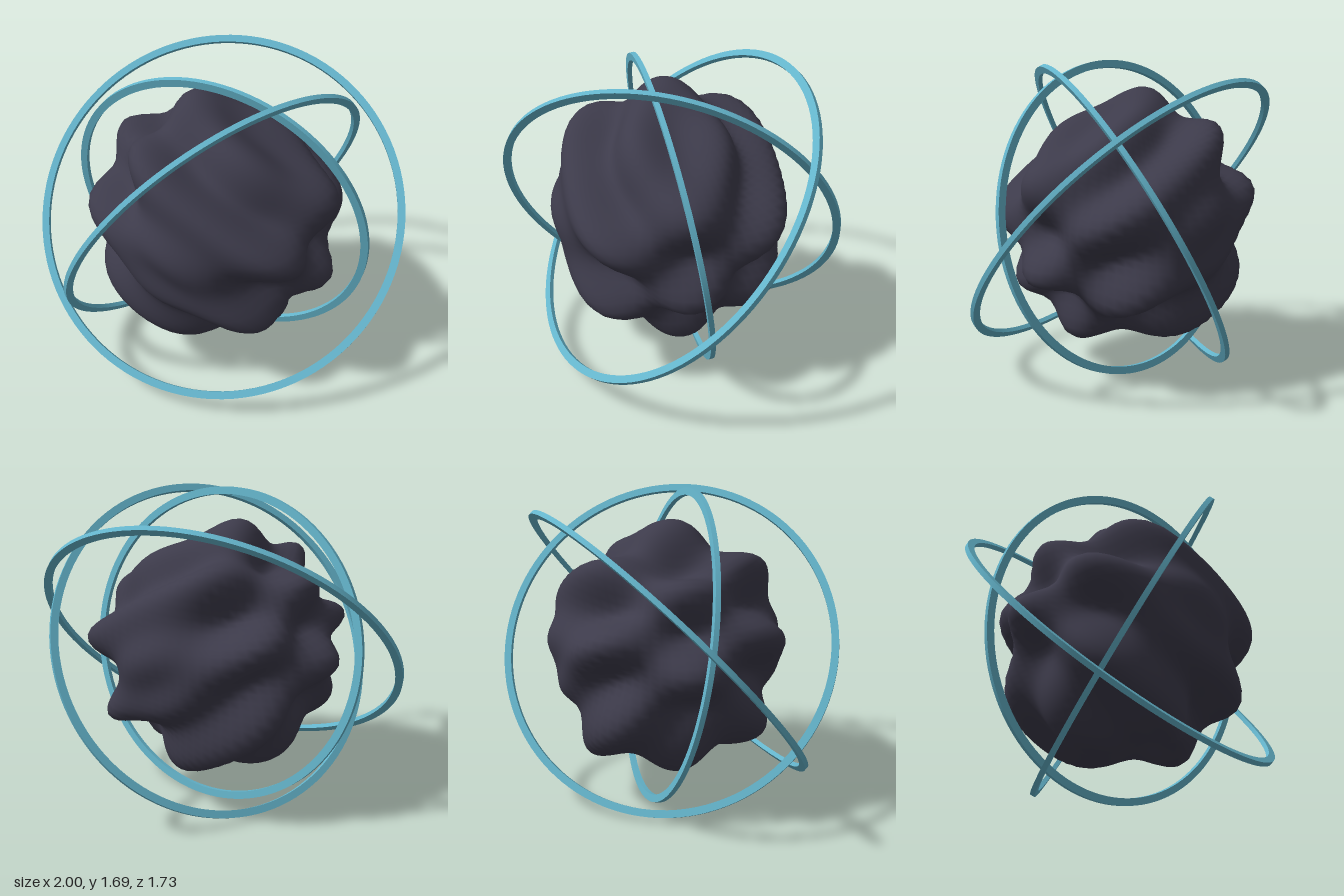
import * as THREE from 'three';
import { mergeVertices, toCreasedNormals } from 'three/addons/utils/BufferGeometryUtils.js';

const CENTER_Y = 0.85;

// Sphere pushed in and out by slanted ridges that alternate along z
function rippledSphere(radius, depth) {
  let geo = new THREE.SphereGeometry(radius, 72, 56);
  const pos = geo.attributes.position;
  const d = new THREE.Vector3();
  for (let i = 0; i < pos.count; i++) {
    d.fromBufferAttribute(pos, i).normalize();
    const wave = Math.sin(5 * d.x + 9 * d.y) * Math.cos(5 * d.z);
    d.multiplyScalar(radius + depth * wave);
    pos.setXYZ(i, d.x, d.y, d.z);
  }
  // weld the seam so the shading is smooth all round
  geo.deleteAttribute('uv');
  geo.deleteAttribute('normal');
  geo = mergeVertices(geo, 1e-4);
  geo.computeVertexNormals();
  return geo;
}

// Flat hoop with a rectangular section, turned around y
function hoop(outer, width, thickness) {
  const inner = outer - width;
  const h = thickness / 2;
  const section = [[outer, -h], [outer, h], [inner, h], [inner, -h], [outer, -h]]
    .map(([x, y]) => new THREE.Vector2(x, y));
  return toCreasedNormals(new THREE.LatheGeometry(section, 112), 0.6);
}

export function createModel() {
  const model = new THREE.Group();
  model.name = 'ringedCore';

  const coreDark = new THREE.MeshStandardMaterial({ color: 0x3d3b4b });
  coreDark.name = 'dark slate';
  const ringBlue = new THREE.MeshStandardMaterial({ color: 0x64b4cb });
  ringBlue.name = 'sky blue';

  // Rippled core
  const core = new THREE.Mesh(rippledSphere(0.622, 0.094), coreDark);
  core.name = 'core';
  core.position.y = CENTER_Y;
  model.add(core);

  // Three orbiting rings: outer radius and axis direction
  const rings = [
    ['innerRing', 0.857, [0, -0.176, 0.984]],
    ['middleRing', 0.938, [0.778, -0.486, 0.4]],
    ['outerRing', 1.01, [0.15, 0.665, 0.73]],
  ];
  const up = new THREE.Vector3(0, 1, 0);
  for (const [name, radius, axis] of rings) {
    const ring = new THREE.Mesh(hoop(radius, 0.04, 0.026), ringBlue);
    ring.name = name;
    ring.position.y = CENTER_Y;
    ring.quaternion.setFromUnitVectors(up, new THREE.Vector3(...axis).normalize());
    model.add(ring);
  }
  return model;
}
